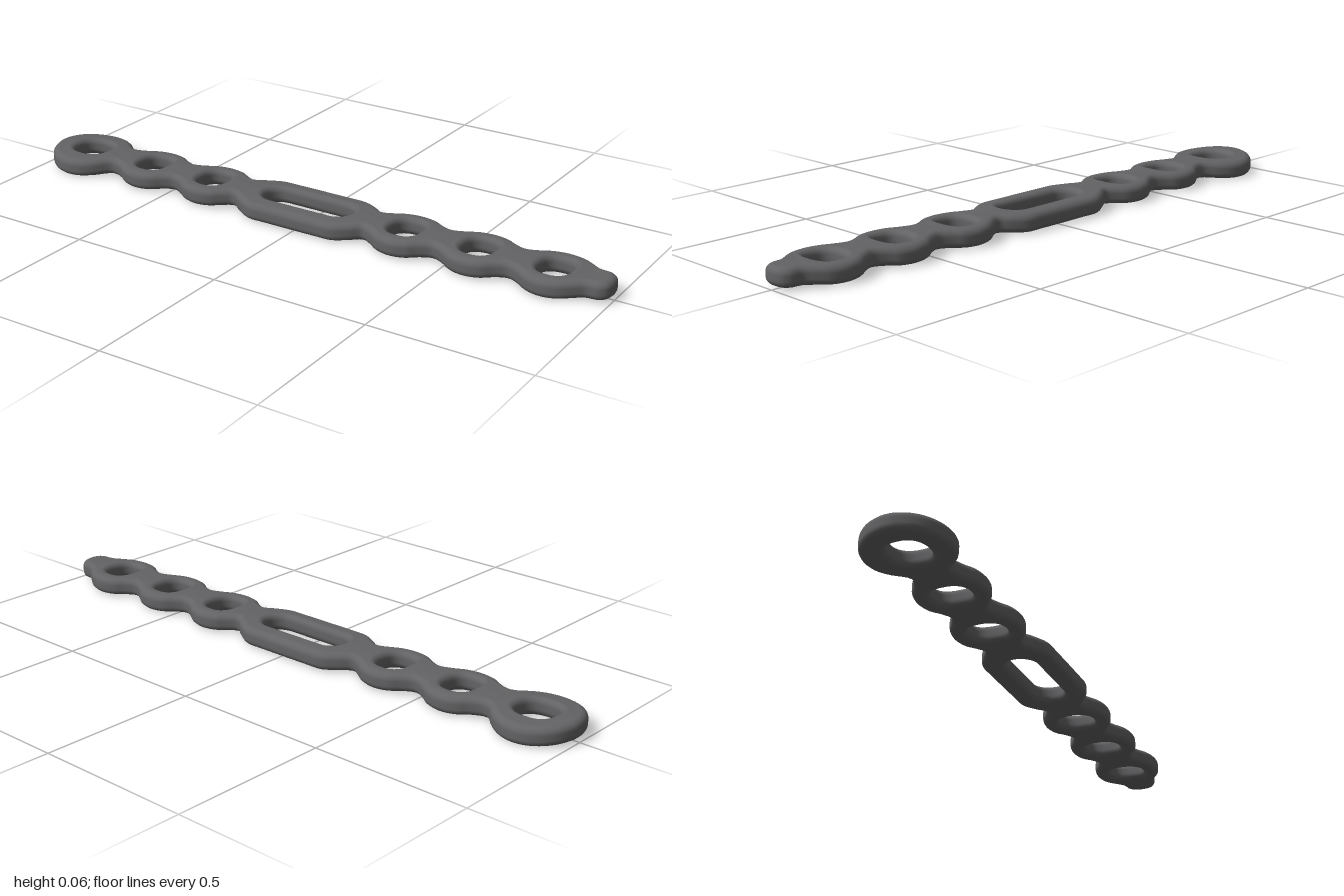
import * as THREE from 'three';
import { mergeVertices } from 'three/addons/utils/BufferGeometryUtils.js';

const THICKNESS = 0.057, BEVEL = 0.02, BEND = 0.6;
const RINGS = [-0.605, -0.365, 0.338, 0.58, 0.82]; // small ring centres

// Upper half of the outline as [x, half width], from the big eye to the tip
function halfOutline() {
  const pts = [];
  for (let a = 170; a >= 50; a -= 20) { // large end eye
    const t = THREE.MathUtils.degToRad(a);
    pts.push([-0.867 + 0.133 * Math.cos(t), 0.131 * Math.sin(t)]);
  }
  const ring = c => [[-0.085, 0.076], [-0.05, 0.098], [0, 0.108], [0.05, 0.098], [0.085, 0.076]]
    .forEach(([dx, w]) => pts.push([c + dx, w]));
  const neck = x => pts.push([x, 0.062]);
  neck(-0.735); ring(RINGS[0]);
  neck(-0.485); ring(RINGS[1]);
  neck(-0.25);
  pts.push([-0.215, 0.083], [-0.165, 0.109], [-0.1, 0.111], [0.08, 0.111], [0.14, 0.109], [0.19, 0.083]); // slot body
  neck(0.222); ring(RINGS[2]);
  neck(0.459); ring(RINGS[3]);
  neck(0.70); ring(RINGS[4]);
  pts.push([0.935, 0.056], [0.97, 0.051], [0.992, 0.034]); // narrow tip
  return pts;
}

// Rounded-square hole
function hole(cx, rx, ry, power, n = 40) {
  const pts = [];
  for (let i = 0; i < n; i++) {
    const t = (i / n) * Math.PI * 2, c = Math.cos(t), s = Math.sin(t);
    pts.push(new THREE.Vector2(
      cx + rx * Math.sign(c) * Math.abs(c) ** (2 / power),
      ry * Math.sign(s) * Math.abs(s) ** (2 / power)));
  }
  return new THREE.Path(pts);
}

// Long slot with round ends
function slot(x0, x1, r) {
  const p = new THREE.Path();
  p.absarc(x1 - r, 0, r, -Math.PI / 2, Math.PI / 2, false);
  p.absarc(x0 + r, 0, r, Math.PI / 2, Math.PI * 1.5, false);
  return p;
}

export function createModel() {
  const steel = new THREE.MeshStandardMaterial({ color: 0x636365 });
  steel.name = 'dark grey metal';

  // Mirror the half outline into one closed smooth curve
  const half = halfOutline();
  const loop = [[-1, 0], ...half, [1, 0], ...half.map(([x, w]) => [x, -w]).reverse()];
  const curve = new THREE.CatmullRomCurve3(loop.map(([x, y]) => new THREE.Vector3(x, y, 0)), true);
  const outline = curve.getPoints(loop.length * 4).slice(0, -1).map(p => new THREE.Vector2(p.x, p.y));

  const shape = new THREE.Shape(outline);
  shape.holes.push(hole(-0.862, 0.061, 0.056, 2.5), slot(-0.165, 0.148, 0.047));
  RINGS.forEach(c => shape.holes.push(hole(c, 0.049, 0.056, 2.7)));

  let geo = new THREE.ExtrudeGeometry(shape, {
    depth: THICKNESS - 2 * BEVEL, bevelEnabled: true, bevelThickness: BEVEL,
    bevelSize: BEVEL, bevelOffset: -BEVEL, bevelSegments: 5, curveSegments: 14,
  });
  geo.rotateX(-Math.PI / 2);

  // Arch the plate gently across its width
  const pos = geo.attributes.position;
  for (let i = 0; i < pos.count; i++) pos.setY(i, pos.getY(i) - BEND * pos.getZ(i) ** 2);

  // Weld for smooth rounded edges
  geo.deleteAttribute('uv');
  geo.deleteAttribute('normal');
  geo.clearGroups();
  geo = mergeVertices(geo, 1e-5);
  geo.computeVertexNormals();
  geo.computeBoundingBox();
  geo.translate(0, -geo.boundingBox.min.y, 0);

  const plate = new THREE.Mesh(geo, steel);
  plate.name = 'perforatedPlate';
  const group = new THREE.Group();
  group.name = 'bonePlate';
  group.add(plate);
  return group;
}
